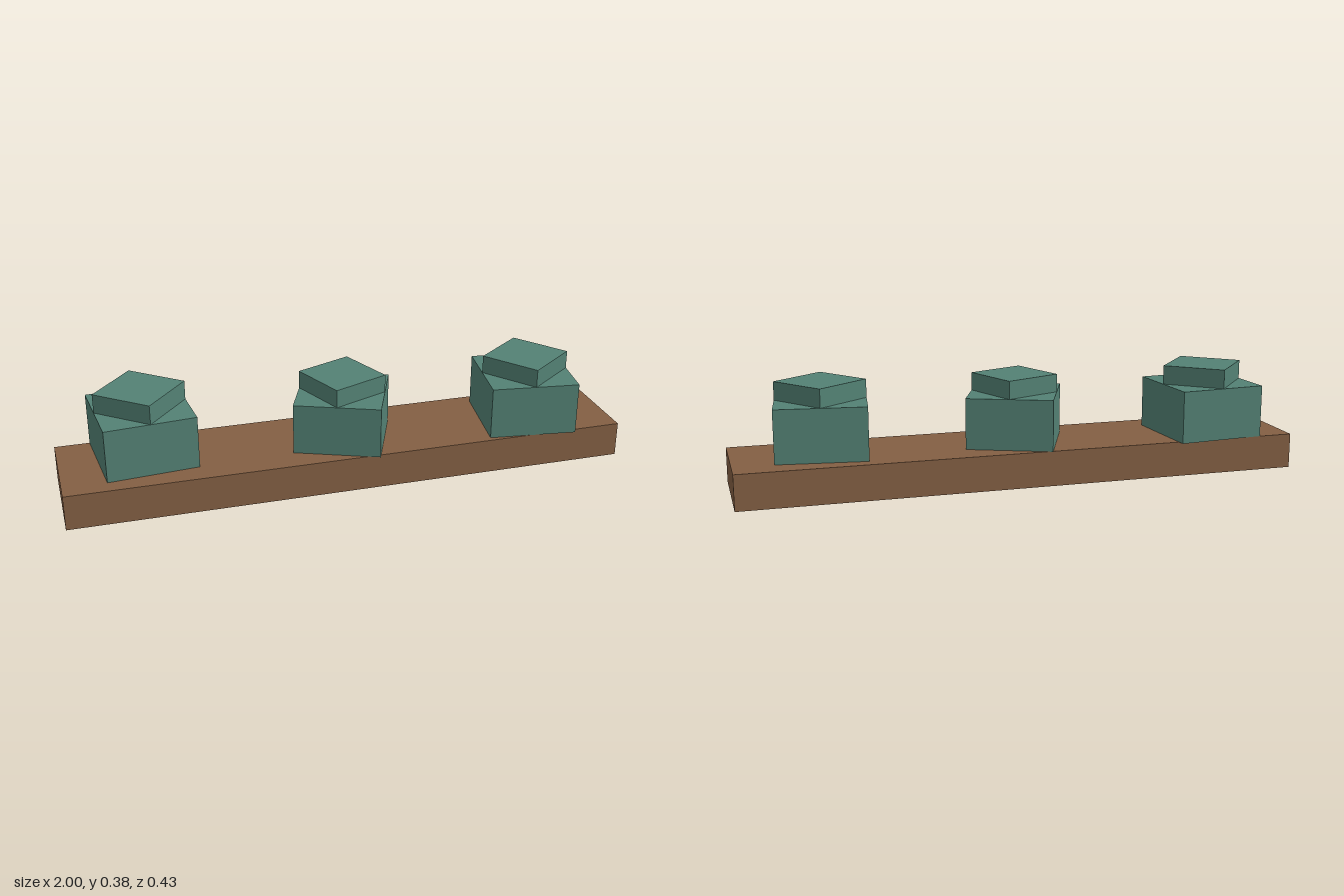
import * as THREE from 'three';

// Box standing on y = 0 with no underside
function openBox(width, height, depth) {
  const geometry = new THREE.BoxGeometry(width, height, depth).translate(0, height / 2, 0);
  const index = Array.from(geometry.index.array);
  index.splice(18, 6); // the downward face
  geometry.setIndex(index);
  geometry.clearGroups();
  return geometry;
}

export function createModel() {
  const wood = new THREE.MeshStandardMaterial({ color: 0x835f43, side: THREE.DoubleSide });
  wood.name = 'brown wood';
  const leaf = new THREE.MeshStandardMaterial({ color: 0x538174, side: THREE.DoubleSide });
  leaf.name = 'green leaf';

  const model = new THREE.Group();
  model.name = 'planterBox';

  function addBox(parent, name, size, material, position, turn = 0) {
    const mesh = new THREE.Mesh(openBox(...size), material);
    mesh.name = name;
    mesh.position.set(...position);
    mesh.rotation.y = turn;
    parent.add(mesh);
  }

  // Long hollow trough
  const troughHeight = 0.125;
  addBox(model, 'trough', [2, troughHeight, 0.375], wood, [0, 0, 0.002]);

  // Three shrubs: a block with a smaller cap turned an eighth, its corners on the block's edges
  const shrubs = [
    { name: 'rightShrub', x: -0.704, z: -0.041, side: 0.318, height: 0.187, cap: 0.068, turn: 0.09 },
    { name: 'middleShrub', x: 0, z: 0.007, side: 0.305, height: 0.181, cap: 0.064, turn: -0.393 },
    { name: 'leftShrub', x: 0.683, z: 0.035, side: 0.314, height: 0.187, cap: 0.065, turn: -0.134 },
  ];
  for (const { name, x, z, side, height, cap, turn } of shrubs) {
    const shrub = new THREE.Group();
    shrub.name = name;
    shrub.position.set(x, troughHeight, z);
    shrub.rotation.y = turn;
    addBox(shrub, 'foliageBlock', [side, height, side], leaf, [0, 0, 0]);
    const capSide = side * Math.SQRT1_2;
    addBox(shrub, 'foliageCap', [capSide, cap, capSide], leaf, [0, height, 0], Math.PI / 4);
    model.add(shrub);
  }

  return model;
}
